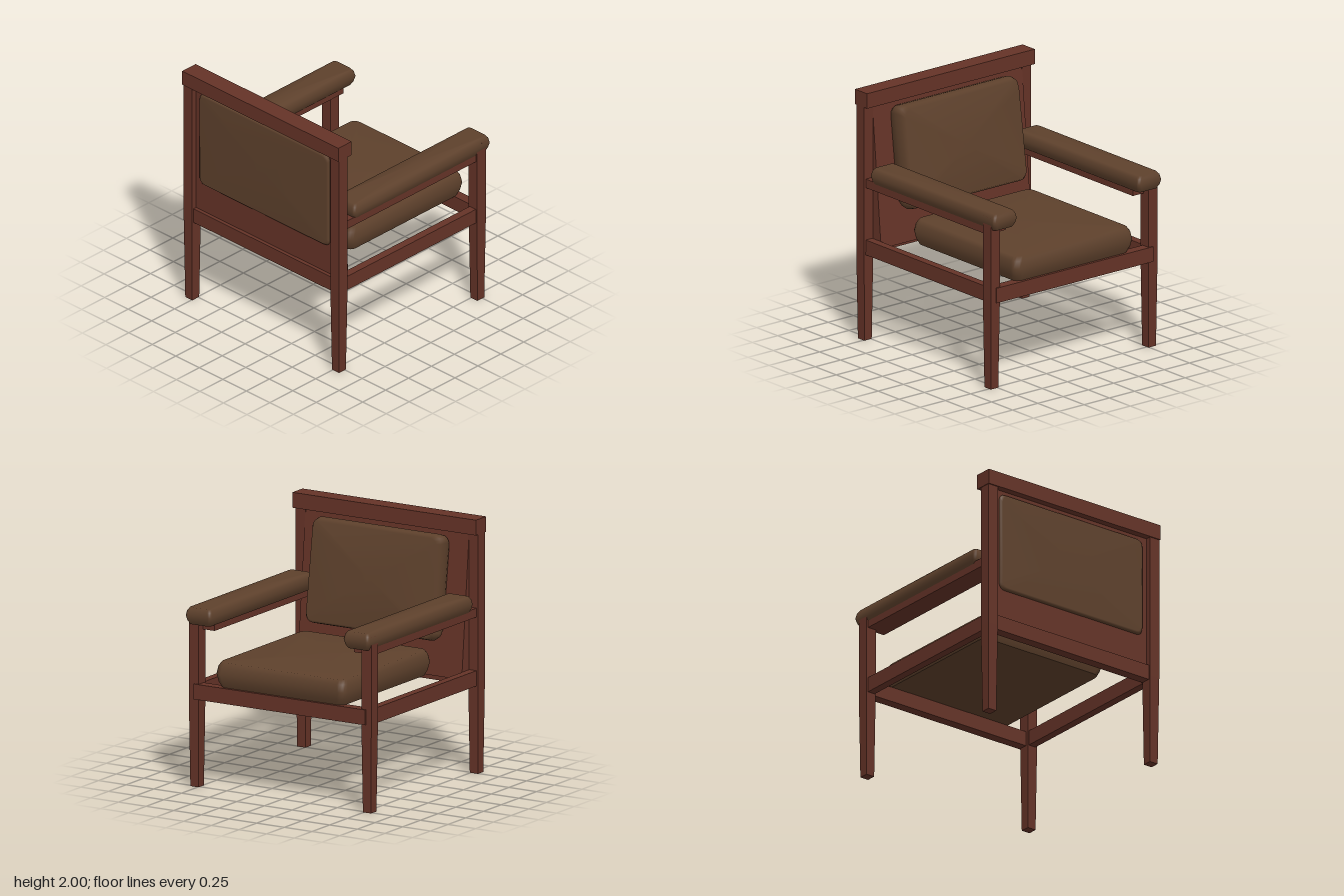
import * as THREE from 'three';

const wood = new THREE.MeshStandardMaterial({ color: 0x653327 });
const leather = new THREE.MeshStandardMaterial({ color: 0x5e412c });

// Wooden block given by its min and max on each axis
function block(name, [x0, x1], [y0, y1], [z0, z1]) {
  const mesh = new THREE.Mesh(new THREE.BoxGeometry(x1 - x0, y1 - y0, z1 - z0), wood);
  mesh.position.set((x0 + x1) / 2, (y0 + y1) / 2, (z0 + z1) / 2);
  mesh.name = name;
  return mesh;
}

// Square post: tapered foot below the seat rails, straight above
function post(name, x, z, height) {
  const group = new THREE.Group();
  const foot = new THREE.BoxGeometry(0.095, 0.72, 0.09);
  const p = foot.attributes.position;
  for (let i = 0; i < p.count; i++) {
    if (p.getY(i) < 0) p.setXYZ(i, p.getX(i) * 0.8, p.getY(i), p.getZ(i) * 0.82);
  }
  foot.translate(0, 0.36, 0);
  foot.computeVertexNormals();
  const upper = new THREE.BoxGeometry(0.095, height - 0.72, 0.09).translate(0, (height + 0.72) / 2, 0);
  group.add(new THREE.Mesh(foot, wood), new THREE.Mesh(upper, wood));
  group.position.set(x, 0, z);
  group.name = name;
  return group;
}

// Padded cushion: rounded-rectangle rings stacked along y, closed by a centre point at each end
function cushion(name, w, h, d, inset, radius, crown = 0.012) {
  const levels = [[-0.5, inset], [-0.28, inset * 0.35], [0, 0], [0.28, inset * 0.35], [0.44, inset]];
  const pos = [], index = [], steps = 4, n = 4 * (steps + 1);
  for (const [t, ins] of levels) {
    for (let c = 0; c < 4; c++) {
      const sx = c === 0 || c === 3 ? 1 : -1, sz = c < 2 ? 1 : -1;
      for (let s = 0; s <= steps; s++) {
        const a = (c + s / steps) * Math.PI / 2;
        pos.push(
          sx * (w / 2 - ins - radius) + radius * Math.cos(a),
          t * h,
          sz * (d / 2 - ins - radius) + radius * Math.sin(a));
      }
    }
  }
  for (let l = 0; l < levels.length - 1; l++) {
    for (let i = 0; i < n; i++) {
      const a = l * n + i, b = l * n + (i + 1) % n;
      index.push(a, a + n, b, b, a + n, b + n);
    }
  }
  // crowned top
  const top = pos.length / 3, last = (levels.length - 1) * n;
  pos.push(0, h * 0.44 + h * 0.06 + crown * 0.2, 0);
  for (let i = 0; i < n; i++) index.push(last + i, top, last + (i + 1) % n);
  // flat base with its own vertices for a crisp edge
  const base = pos.length / 3;
  for (let i = 0; i < n; i++) pos.push(pos[i * 3], pos[i * 3 + 1], pos[i * 3 + 2]);
  pos.push(0, -h / 2, 0);
  for (let i = 0; i < n; i++) index.push(base + n, base + i, base + (i + 1) % n);

  const geo = new THREE.BufferGeometry();
  geo.setAttribute('position', new THREE.Float32BufferAttribute(pos, 3));
  geo.setIndex(index);
  geo.computeVertexNormals();
  const mesh = new THREE.Mesh(geo, leather);
  mesh.name = name;
  return mesh;
}

export function createModel() {
  const chair = new THREE.Group();
  chair.name = 'armchair';

  // Both sides: posts, side rail, arm board and arm pad
  for (const s of [1, -1]) {
    const side = s > 0 ? 'left' : 'right';
    const span = (a, b) => (s > 0 ? [a, b] : [-b, -a]);
    chair.add(
      post(side + 'BackPost', -0.777, s * 0.78, 1.9),
      post(side + 'FrontPost', 0.732, s * 0.78, 1.38),
      block(side + 'SideRail', [-0.74, 0.7], [0.69, 0.81], span(0.745, 0.81)),
      block(side + 'ArmBoard', [-0.74, 0.72], [1.23, 1.3], span(0.63, 0.81)));
    const pad = cushion(side + 'ArmPad', 1.49, 0.14, 0.235, 0.025, 0.025);
    pad.position.set(0.085, 1.35, s * 0.714);
    chair.add(pad);
  }

  // Cross rails
  chair.add(
    block('frontRail', [0.71, 0.79], [0.69, 0.81], [-0.775, 0.775]),
    block('backRail', [-0.81, -0.73], [0.69, 0.81], [-0.775, 0.775]),
    block('topRail', [-0.835, -0.69], [1.88, 2], [-0.83, 0.83]));

  // Wedge-shaped back panel, leaning towards the seat at the bottom
  const wedge = new THREE.Shape([
    new THREE.Vector2(-0.78, 0.75), new THREE.Vector2(-0.63, 0.75),
    new THREE.Vector2(-0.735, 1.89), new THREE.Vector2(-0.78, 1.89)]);
  const panel = new THREE.Mesh(
    new THREE.ExtrudeGeometry(wedge, { depth: 1.48, bevelEnabled: false }).translate(0, 0, -0.74), wood);
  panel.name = 'backPanel';
  chair.add(panel);

  // Upholstery
  const seat = cushion('seatCushion', 1.255, 0.21, 1.18, 0.03, 0.06);
  seat.position.set(0.17, 0.915, 0);
  const back = cushion('backCushion', 0.82, 0.2, 1.18, 0.03, 0.06);
  back.rotation.z = -Math.PI / 2 + 0.14;
  back.position.set(-0.595, 1.453, 0);
  const rear = cushion('rearBackPad', 0.8, 0.05, 1.38, 0.02, 0.05);
  rear.rotation.z = Math.PI / 2;
  rear.position.set(-0.782, 1.45, 0);
  chair.add(seat, back, rear);

  return chair;
}
